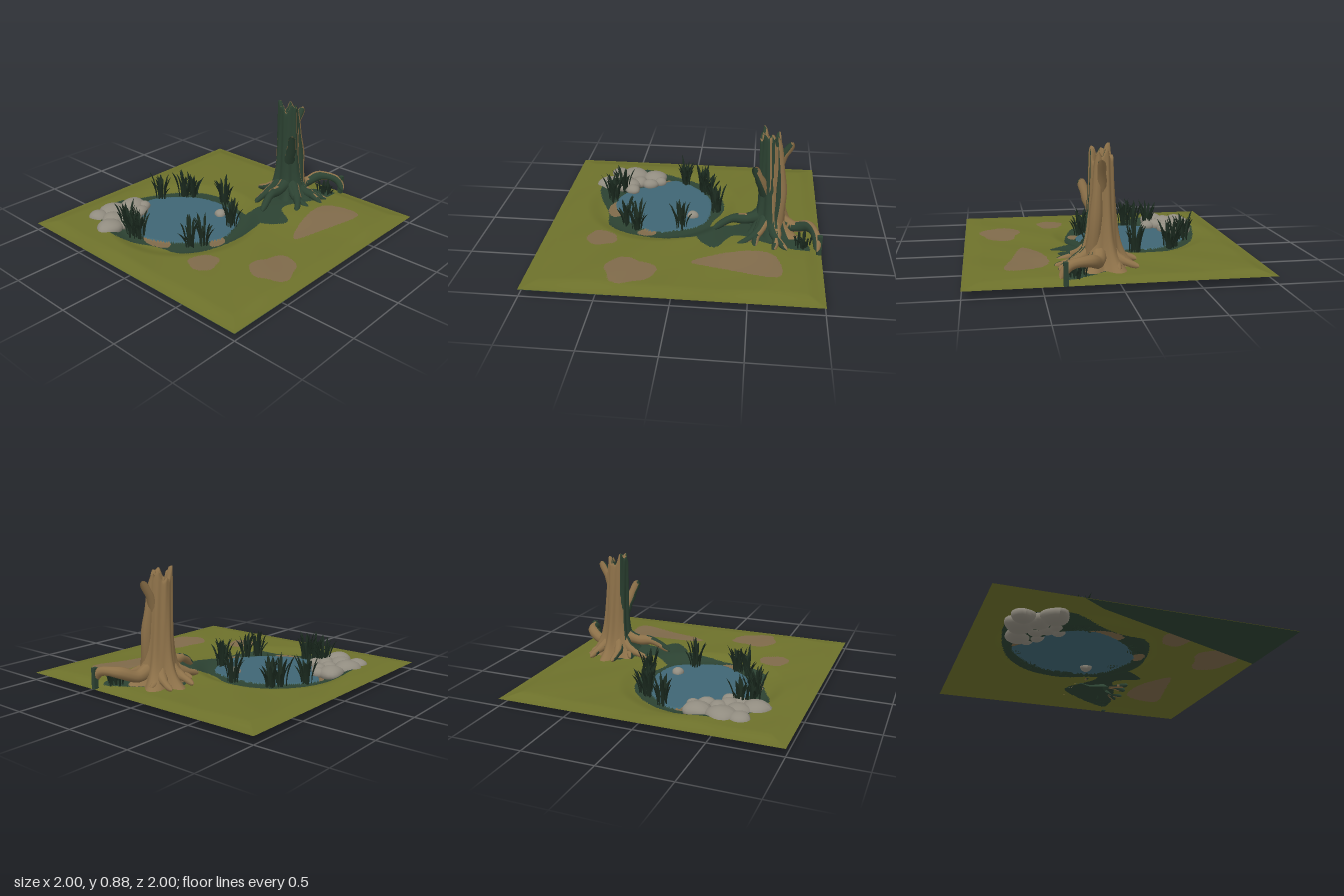
import * as THREE from 'three';
import { mergeGeometries, mergeVertices } from 'three/addons/utils/BufferGeometryUtils.js';

const mat = (name, color, side = THREE.FrontSide) => {
  const m = new THREE.MeshStandardMaterial({ color, side });
  m.name = name;
  return m;
};
let seed = 7;
const rand = (a = 0, b = 1) => {
  seed = (seed * 16807) % 2147483647;
  return a + (b - a) * (seed / 2147483647);
};
const smooth = THREE.MathUtils.smoothstep;

// wavy round outline on the ground: centre, half sizes, waviness and its phase
function blob(cx, cz, rx, rz, wave, phase) {
  return Array.from({ length: 60 }, (_, i) => {
    const a = i / 60 * Math.PI * 2;
    const s = 1 + wave * (Math.sin(a * 3 + phase) + 0.6 * Math.sin(a * 5 - phase));
    return { x: cx + rx * s * Math.cos(a), z: cz + rz * s * Math.sin(a) };
  });
}
// smooth closed outline through [x, z] points
const outline = (pts) => new THREE.CatmullRomCurve3(
  pts.map(([x, z]) => new THREE.Vector3(x, 0, z)), true).getPoints(pts.length * 6);
function inside(poly, x, z) {
  let hit = false;
  for (let i = 0, j = poly.length - 1; i < poly.length; j = i++) {
    const a = poly[i], b = poly[j];
    if ((a.z > z) !== (b.z > z) && x < (b.x - a.x) * (z - a.z) / (b.z - a.z) + a.x) hit = !hit;
  }
  return hit;
}

const water = outline([[-0.15, -0.69], [0.1, -0.5], [0.18, -0.3], [0.13, 0.02], [-0.07, 0.13], [-0.22, 0.16],
  [-0.45, 0], [-0.58, -0.25], [-0.5, -0.47], [-0.28, -0.6]]);
const mossAreas = [
  // bank round the pond
  outline([[-0.55, -0.78], [-0.08, -0.73], [0.2, -0.52], [0.28, -0.24], [0.2, -0.02], [0.15, 0.23], [-0.28, 0.23],
    [-0.55, 0.12], [-0.61, -0.1], [-0.74, -0.45]]),
  // strip to the stump and round its roots
  outline([[0.1, 0.02], [0.35, 0.08], [0.6, -0.09], [0.8, 0.1], [0.92, 0.36], [0.6, 0.32], [0.38, 0.24],
    [0.25, 0.4], [0.1, 0.24]]),
];
const dirtAreas = [
  blob(-0.575, 0.33, 0.11, 0.1, 0.06, 1),
  blob(-0.31, 0.73, 0.175, 0.145, 0.1, 2),
  outline([[0.1, 0.58], [0.38, 0.46], [0.66, 0.46], [0.71, 0.72], [0.4, 0.67]]),
  blob(-0.55, -0.17, 0.07, 0.13, 0, 0),
  blob(-0.27, 0.17, 0.07, 0.045, 0, 0),
  blob(-0.2, -0.64, 0.06, 0.06, 0, 0),
];
const inAny = (polys, c) => polys.some((p) => inside(p, c.x, c.z));

function groundY(x, z) {
  if (inside(water, x, z)) return 0.046;
  const edge = smooth(1 - Math.max(Math.abs(x), Math.abs(z)), 0, 0.13);
  const mound = 0.03 * Math.exp(-((x - 0.52) ** 2 + (z - 0.32) ** 2) / 0.09);
  const wave = 0.006 * Math.sin(x * 5 + 1) * Math.cos(z * 4.3) + 0.003 * Math.sin(x * 11 + z * 9);
  const h = 0.052 + edge * (0.02 + mound + wave);
  const bank = smooth(Math.hypot(x + 0.2, z + 0.25), 0.46, 0.6);
  return THREE.MathUtils.lerp(0.036, h, bank);
}

// sorts the triangles into material groups by a rule on their centre and normal
function regroup(geo, rule, count) {
  const p = geo.attributes.position, idx = geo.index.array;
  const bins = Array.from({ length: count }, () => []);
  const t = new THREE.Triangle(), c = new THREE.Vector3(), n = new THREE.Vector3();
  for (let i = 0; i < idx.length; i += 3) {
    t.setFromAttributeAndIndices(p, idx[i], idx[i + 1], idx[i + 2]);
    t.getMidpoint(c);
    t.getNormal(n);
    bins[rule(c, n)].push(idx[i], idx[i + 1], idx[i + 2]);
  }
  geo.clearGroups();
  geo.setIndex(bins.flat());
  let start = 0;
  bins.forEach((b, k) => { geo.addGroup(start, b.length, k); start += b.length; });
  return geo;
}
// moss grows on the side of the wood facing the pond
const mossRule = (c, n) =>
  n.x * -0.85 + n.z * 0.53 + 1.5 * ((0.6 - c.x) * 0.85 + (c.z - 0.09) * 0.53) > 0.3 ? 1 : 0;

// round limb along a path, tapering from r0 to r1 with a rounded tip
function limb(pts, r0, r1) {
  const curve = new THREE.CatmullRomCurve3(pts.map((p) => new THREE.Vector3(...p)));
  const seg = 24, rad = 10, geo = new THREE.TubeGeometry(curve, seg, 1, rad);
  const p = geo.attributes.position, v = new THREE.Vector3();
  for (let i = 0; i <= seg; i++) {
    const t = i / seg, c = curve.getPointAt(t);
    const tip = t > 0.9 ? Math.sqrt(Math.max(0, 1 - ((t - 0.9) / 0.1) ** 2)) : 1;
    const r = (r0 + (r1 - r0) * t) * tip * (1 + 0.07 * Math.sin(t * 17));
    for (let j = 0; j <= rad; j++) {
      const k = i * (rad + 1) + j;
      v.fromBufferAttribute(p, k).sub(c).multiplyScalar(r).add(c);
      p.setXYZ(k, v.x, v.y, v.z);
    }
  }
  return regroup(geo, mossRule, 2);
}

// root from the trunk foot to a point on the ground, with a sideways bend
function root(x, z, bend) {
  const dx = x - 0.63, dz = z - 0.09;
  return limb([[0.2, 0.2], [0.5, 0.135], [0.78, 0.105], [1, 0.085]].map(([t, y]) => {
    const b = bend * Math.sin(t * Math.PI);
    return [0.63 + dx * t - dz * b, y, 0.09 + dz * t + dx * b];
  }), 0.046, 0.016);
}

// hollow trunk: ridged flared outside, jagged rim, then back down inside
function trunkGeometry() {
  let geo = new THREE.PlaneGeometry(1, 1, 64, 34);
  const p = geo.attributes.position;
  for (let i = 0; i < p.count; i++) {
    const a = (p.getX(i) + 0.5) * Math.PI * 2, v = p.getY(i) + 0.5;
    const t = Math.min(1, v / 0.82), inner = Math.max(0, (v - 0.82) / 0.18);
    const jag = 0.03 * Math.sin(a * 3 + 2.2) + 0.018 * Math.sin(a * 7) - 0.02 * Math.sin(a);
    const y = 0.07 + t * (0.75 + jag) - 0.16 * smooth(inner, 0.25, 1);
    const ridge = Math.cos(a * 6 + t * 2) * (0.05 + 0.14 * Math.exp(-t * 5)) + 0.03 * Math.sin(a * 11 - t * 3);
    const r = (0.077 + 0.025 * (1 - t) + 0.1 * Math.exp(-t * 8)) * (1 + ridge) * (1 - 0.98 * inner);
    p.setXYZ(i, 0.645 - 0.035 * t + r * 0.92 * Math.sin(a), y, 0.09 + r * Math.cos(a));
  }
  geo.deleteAttribute('uv');
  geo.deleteAttribute('normal');
  geo = mergeVertices(geo, 1e-5);
  geo.computeVertexNormals();
  return regroup(geo, mossRule, 2);
}

// clump of bent, pointed blades
function clump(x, z, count, spread, height) {
  const blades = [];
  for (let i = 0; i < count; i++) {
    const h = height * rand(0.5, 1), lean = rand(0.06, 0.26) * height, w = rand(0.016, 0.024);
    const g = new THREE.PlaneGeometry(1, 1, 2, 6), p = g.attributes.position;
    for (let k = 0; k < p.count; k++) {
      const t = p.getY(k) + 0.5, u = p.getX(k);
      const half = w * (0.55 + 0.9 * t) * Math.sqrt(Math.max(0, 1 - t ** 4));
      p.setXYZ(k, u * half, t * h, lean * t * t - Math.abs(u) * half * 0.8);
    }
    g.computeVertexNormals();
    const a = i * 2.4 + rand(0, 0.6), d = spread * Math.sqrt(rand());
    g.rotateY(a);
    g.translate(x + Math.sin(a) * d, groundY(x, z) - 0.005, z + Math.cos(a) * d);
    blades.push(g);
  }
  return mergeGeometries(blades);
}

// lumpy boulder, flatter than wide
function boulder(r, k) {
  const geo = new THREE.SphereGeometry(1, 18, 12), p = geo.attributes.position, v = new THREE.Vector3();
  for (let i = 0; i < p.count; i++) {
    v.fromBufferAttribute(p, i);
    const s = r * (1 + 0.07 * Math.sin(v.x * 3 + k) + 0.06 * Math.sin(v.z * 4 + k * 2) * Math.cos(v.y * 2));
    p.setXYZ(i, v.x * s, v.y * (0.02 + r * 0.38), v.z * s * 0.93);
  }
  geo.computeVertexNormals();
  return geo;
}

export function createModel() {
  const model = new THREE.Group();
  const two = THREE.DoubleSide;
  const grass = mat('grass', 0x6d712b, two), moss = mat('moss', 0x2c4232, two), dirt = mat('dirt', 0x7f6a4a, two);
  const pond = mat('water', 0x3f6674, two), bark = mat('bark', 0x8d7149);
  const stone = mat('stone', 0x918c80), reed = mat('reed', 0x1b2a1f, two);
  const wood = [bark, moss];
  const add = (name, geo, material, parent = model) => {
    const m = new THREE.Mesh(geo, material);
    m.name = name;
    parent.add(m);
    return m;
  };

  // ground sheet with pond, moss and bare soil
  const land = new THREE.PlaneGeometry(2, 2, 200, 200).rotateX(-Math.PI / 2);
  const lp = land.attributes.position;
  for (let i = 0; i < lp.count; i++) lp.setY(i, groundY(lp.getX(i), lp.getZ(i)));
  land.computeVertexNormals();
  regroup(land, (c) => inside(water, c.x, c.z) ? 3 : inAny(dirtAreas, c) ? 2 : inAny(mossAreas, c) ? 1 : 0, 4);
  add('ground', land, [grass, moss, dirt, pond]);

  // dark soil under one corner
  const corner = new THREE.Shape([[-1, 1], [-1, -0.45], [-0.9, -0.3], [-0.4, 1]].map((p) => new THREE.Vector2(...p)));
  add('undersideSoil', new THREE.ShapeGeometry(corner).rotateX(Math.PI / 2).translate(0, 0.049, 0), moss);

  // tree stump with broken branches and roots
  const stump = new THREE.Group();
  stump.name = 'stump';
  model.add(stump);
  add('trunk', trunkGeometry(), wood, stump);
  add('rightBranch', limb([[0.59, 0.4, 0.13], [0.55, 0.52, 0.18], [0.505, 0.635, 0.215]], 0.045, 0.026), wood, stump);
  add('leftBranch', limb([[0.64, 0.5, 0.1], [0.7, 0.67, 0.1], [0.77, 0.79, 0.11]], 0.042, 0.024), wood, stump);
  add('frontBurl', limb([[0.67, 0.12, 0.16], [0.7, 0.4, 0.14], [0.66, 0.83, 0.11]], 0.055, 0.025), wood, stump);
  add('longRoot', limb([[0.6, 0.22, 0.12], [0.47, 0.18, 0.13], [0.36, 0.18, 0.14], [0.22, 0.1, 0.17]], 0.05, 0.02), wood, stump);
  add('archedRoot', limb([[0.7, 0.18, 0.12], [0.8, 0.14, 0.14], [0.91, 0.18, 0.2], [0.96, 0.17, 0.34],
    [0.965, 0.09, 0.4]], 0.05, 0.026), wood, stump);
  [[0.57, -0.16], [0.76, -0.14], [0.82, 0], [0.76, 0.39], [0.66, 0.41], [0.53, 0.39], [0.4, 0.36], [0.33, 0.01],
    [0.46, -0.05]].forEach(([x, z], i) => add('root', root(x, z, i % 2 ? 0.1 : -0.12), wood, stump));
  add('edgeRoot', new THREE.BoxGeometry(0.035, 0.15, 0.03).translate(0.982, 0.126, 0.365), moss, stump);

  // reeds round the pond, ferns by the stump
  for (const [x, z] of [[-0.06, -0.65], [0.09, -0.54], [0.14, -0.49], [0.22, -0.22], [-0.02, 0.08], [-0.44, 0.06],
    [-0.35, 0.11], [-0.61, -0.29], [-0.62, -0.37], [-0.56, -0.48]]) add('reeds', clump(x, z, 15, 0.045, 0.235), reed);
  add('fern', clump(0.87, 0.29, 22, 0.07, 0.1), reed);

  // boulders on the far bank and one in the water
  [[-0.69, -0.54, 0.1], [-0.63, -0.73, 0.08], [-0.5, -0.72, 0.11], [-0.33, -0.69, 0.095], [-0.59, -0.62, 0.09],
    [-0.44, -0.6, 0.065], [-0.35, -0.57, 0.06], [-0.48, -0.46, 0.055], [-0.5, -0.54, 0.07], [-0.27, -0.62, 0.05],
    [-0.56, -0.5, 0.06]].forEach(([x, z, r], i) => add('boulder', boulder(r, i * 1.7), stone).position.set(x, 0.061, z));
  add('pondStone', boulder(0.045, 3), stone).position.set(0.05, 0.05, -0.1);
  return model;
}
